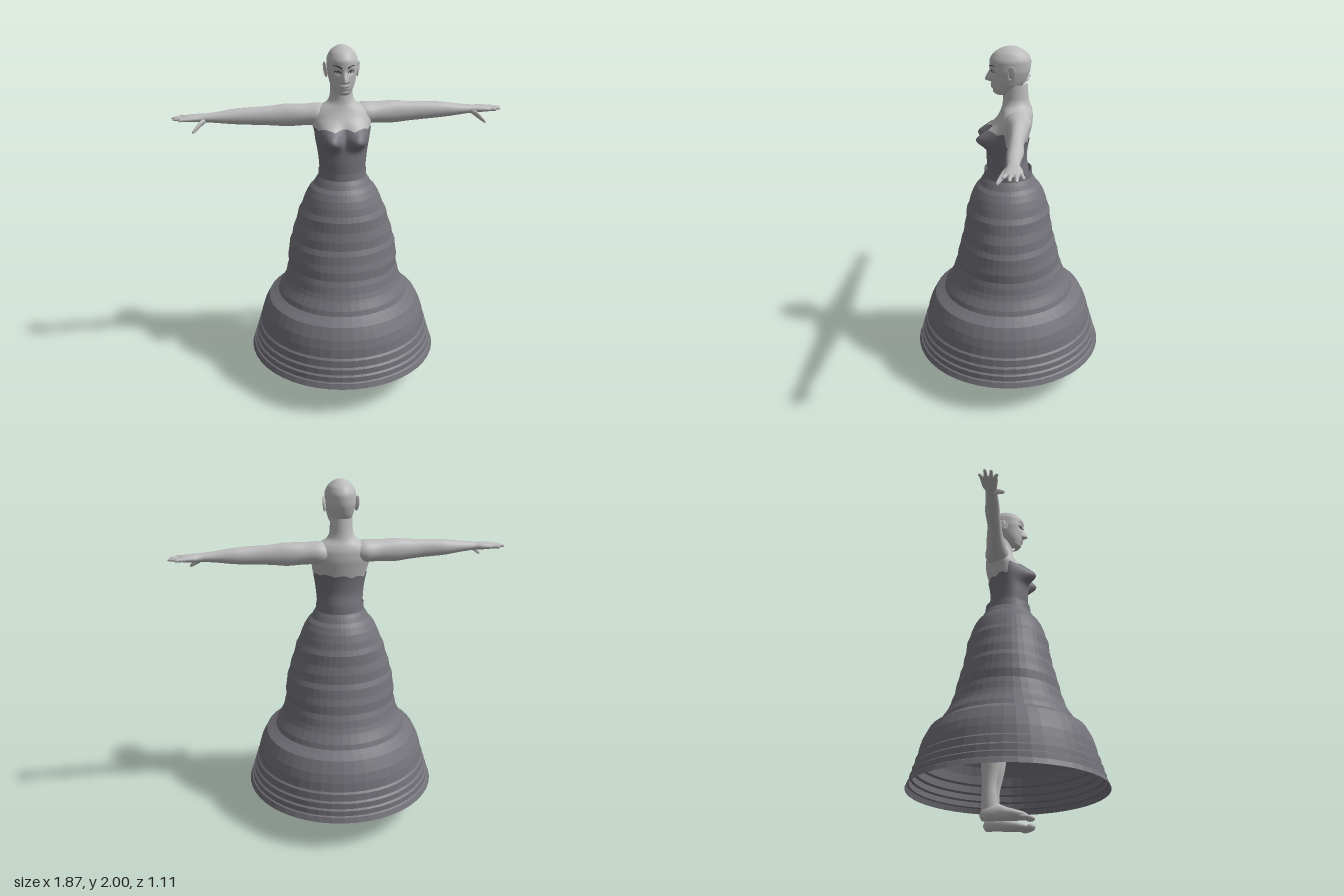
import * as THREE from 'three';

const { PI, sin, cos, exp, max, min, abs, acos } = Math;
const smooth = THREE.MathUtils.smoothstep;
const gauss = (d, w) => exp(-(d * d) / (w * w));

const skin = new THREE.MeshStandardMaterial({ name: 'skin', color: 0xbcbcbc });
const cloth = new THREE.MeshStandardMaterial({ name: 'dress cloth', color: 0x74737a, side: THREE.DoubleSide });
const skirtCloth = new THREE.MeshStandardMaterial({ name: 'skirt cloth', color: 0x74737a, side: THREE.DoubleSide, flatShading: true });
const dark = new THREE.MeshStandardMaterial({ name: 'brow dark', color: 0x3c3c3e, side: THREE.DoubleSide });

// Monotone interpolation of table rows, keyed on the first column
function at(keys, t) {
  let i = 0;
  while (i < keys.length - 2 && t > keys[i + 1][0]) i++;
  const h = keys[i + 1][0] - keys[i][0];
  const s = min(1, max(0, (t - keys[i][0]) / h));
  return keys[0].slice(1).map((_, n) => {
    const c = n + 1;
    const slope = (j) => (keys[j + 1][c] - keys[j][c]) / (keys[j + 1][0] - keys[j][0]);
    const tangent = (j) => {
      if (j === 0) return slope(0);
      if (j === keys.length - 1) return slope(j - 1);
      const a = slope(j - 1), b = slope(j);
      return a * b <= 0 ? 0 : (2 * a * b) / (a + b);
    };
    const p = keys[i][c], q = keys[i + 1][c], s2 = s * s, s3 = s2 * s;
    return p * (2 * s3 - 3 * s2 + 1) + q * (3 * s2 - 2 * s3)
      + h * (tangent(i) * (s3 - 2 * s2 + s) + tangent(i + 1) * (s3 - s2));
  });
}

// Surface through rings; fn(angle, v) gives a point
function loft(fn, around, rows) {
  const pos = [], index = [];
  for (let j = 0; j <= rows; j++) {
    for (let i = 0; i < around; i++) pos.push(...fn((i / around) * 2 * PI, j / rows));
  }
  for (let j = 0; j < rows; j++) {
    for (let i = 0; i < around; i++) {
      const a = j * around + i, b = j * around + ((i + 1) % around);
      index.push(a, a + around, b, b, a + around, b + around);
    }
  }
  const g = new THREE.BufferGeometry();
  g.setAttribute('position', new THREE.Float32BufferAttribute(pos, 3));
  g.setIndex(index);
  g.computeVertexNormals();
  return g;
}

// Rows crowd towards both ends so tips stay round
const along = (keys, v) => {
  const lo = keys[0][0], hi = keys[keys.length - 1][0];
  return lo + ((hi - lo) * (1 - cos(PI * v))) / 2;
};

// Sideways limb: rows are x, centre y, half height, centre z, half depth
const limbX = (keys, around = 20, rows = 40) => loft((a, v) => {
  const x = along(keys, v), [y, ry, z, rz] = at(keys, x);
  return [x, y + ry * cos(a), z - rz * sin(a)];
}, around, rows);

// Foot direction: rows are z, centre x, half width, centre y, half height
const limbZ = (keys) => loft((a, v) => {
  const z = along(keys, v), [x, rx, y, ry] = at(keys, z);
  return [x + rx * cos(a), y - ry * sin(a), z];
}, 20, 24);

// Upright limb: rows are y, centre x, half width, front z, back z
const limbY = (keys) => loft((a, v) => {
  const y = along(keys, v), [x, rx, f, b] = at(keys, y);
  return [x + rx * cos(a), y, (f + b) / 2 + ((f - b) / 2) * sin(a)];
}, 20, 30);

// Torso and neck rows: y, half width, front z, back z
const torsoKeys = [
  [0.86, 0.02, 0.0, -0.06], [0.9, 0.15, 0.07, -0.12], [1.0, 0.17, 0.09, -0.15], [1.15, 0.15, 0.1, -0.13],
  [1.31, 0.125, 0.112, -0.11], [1.38, 0.13, 0.115, -0.1], [1.45, 0.14, 0.11, -0.107], [1.52, 0.155, 0.085, -0.122],
  [1.58, 0.168, 0.07, -0.135], [1.62, 0.165, 0.052, -0.137], [1.655, 0.135, 0.038, -0.13],
  [1.685, 0.08, 0.03, -0.118], [1.72, 0.064, 0.028, -0.112], [1.8, 0.06, 0.028, -0.106]];

function torsoPoint(a, y, grow = 0) {
  const [w, f, b] = at(torsoKeys, y);
  const x = (w + grow) * cos(a), s = sin(a);
  let z = (f + b) / 2 + ((f - b) / 2 + grow) * s;
  const drop = y > 1.5 ? 0.058 : 0.046;
  if (s > 0) z += 0.088 * min(1, s * 1.6) * gauss(abs(x) - 0.078, 0.058) * gauss(y - 1.5, drop);
  return [x, y, z];
}

// Ragged upper hem of the bodice: high over the bust, low at the back
function bodiceTop(a) {
  return 1.475 + 0.07 * smooth(sin(a), 0.02, 0.4) + 0.012 * abs(sin(a * 5)) + 0.012 * smooth(-sin(a), 0.1, 0.6) * cos(a);
}

// Head rows: y, half width, front z, back z
const headKeys = [
  [1.735, 0.012, 0.045, 0.015], [1.742, 0.036, 0.068, -0.01], [1.765, 0.053, 0.08, -0.045],
  [1.8, 0.069, 0.088, -0.085], [1.84, 0.078, 0.093, -0.108], [1.88, 0.084, 0.099, -0.121], [1.92, 0.084, 0.1, -0.124],
  [1.96, 0.069, 0.079, -0.107], [1.985, 0.043, 0.043, -0.072], [1.996, 0.021, 0.012, -0.044], [2.0, 0.003, -0.012, -0.02]];

function headPoint(a, y) {
  const [w, f, b] = at(headKeys, y), s = sin(a), x = w * cos(a);
  let z = (f + b) / 2 + ((f - b) / 2) * s;
  if (s > 0) {
    const nose = smooth(y, 1.804, 1.818) * (1 - smooth(y, 1.818, 1.885));
    z += 0.034 * nose * gauss(x, 0.009 + 0.008 * nose);
    z -= 0.013 * gauss(abs(x) - 0.034, 0.019) * gauss(y - 1.868, 0.014);
    z += 0.009 * gauss(x, 0.024) * (gauss(y - 1.794, 0.006) + gauss(y - 1.779, 0.006));
    z += 0.006 * gauss(x, 0.024) * gauss(y - 1.755, 0.012);
  }
  return [x, y, z];
}

// Thin painted strip on the face; line(t) gives x, y and half height
function faceStrip(line) {
  const g = new THREE.PlaneGeometry(1, 1, 12, 1), p = g.attributes.position;
  for (let i = 0; i < p.count; i++) {
    const [x, yc, h] = line(p.getX(i) + 0.5);
    const y = yc + 2 * h * p.getY(i);
    const z = headPoint(acos(x / at(headKeys, y)[0]), y)[2];
    p.setXYZ(i, x, y, z + 0.003);
  }
  g.computeVertexNormals();
  return g;
}

// Skirt outline: radius, y
const skirtProfile = [
  [0.556, 0.185], [0.545, 0.215], [0.537, 0.22], [0.535, 0.25], [0.525, 0.258], [0.523, 0.29], [0.513, 0.3],
  [0.508, 0.34], [0.498, 0.35], [0.49, 0.4], [0.475, 0.45], [0.455, 0.49], [0.442, 0.515], [0.41, 0.535],
  [0.385, 0.552], [0.375, 0.58], [0.352, 0.615], [0.343, 0.63], [0.33, 0.66], [0.318, 0.7], [0.305, 0.73], [0.298, 0.78],
  [0.285, 0.82], [0.275, 0.87], [0.262, 0.9], [0.257, 0.95], [0.245, 1.0], [0.241, 1.06], [0.228, 1.09], [0.218, 1.13],
  [0.203, 1.17], [0.183, 1.205], [0.163, 1.225], [0.15, 1.25], [0.137, 1.27], [0.134, 1.312]];

const armKeys = [
  [0.05, 1.61, 0.04, -0.055, 0.05], [0.13, 1.612, 0.062, -0.06, 0.072], [0.2, 1.611, 0.06, -0.06, 0.06],
  [0.3, 1.611, 0.064, -0.062, 0.05], [0.38, 1.611, 0.056, -0.06, 0.043], [0.46, 1.612, 0.051, -0.058, 0.039],
  [0.57, 1.613, 0.045, -0.06, 0.041], [0.69, 1.612, 0.03, -0.055, 0.034], [0.76, 1.612, 0.023, -0.055, 0.03],
  [0.8, 1.612, 0.021, -0.06, 0.04], [0.85, 1.611, 0.017, -0.06, 0.045], [0.872, 1.61, 0.012, -0.06, 0.04], [0.88, 1.61, 0.002, -0.06, 0.01]];

const legKeys = [
  [0.03, 0.13, 0.03, -0.05, -0.135], [0.1, 0.13, 0.034, -0.05, -0.135], [0.18, 0.13, 0.034, -0.055, -0.133],
  [0.36, 0.13, 0.052, -0.02, -0.14], [0.52, 0.122, 0.05, -0.005, -0.1], [0.75, 0.105, 0.075, 0.045, -0.11], [1.0, 0.09, 0.085, 0.06, -0.12]];

const footKeys = [
  [-0.142, 0.13, 0.006, 0.03, 0.006], [-0.13, 0.13, 0.027, 0.032, 0.03], [-0.09, 0.13, 0.036, 0.045, 0.045],
  [-0.05, 0.131, 0.037, 0.045, 0.045], [0, 0.137, 0.043, 0.035, 0.035], [0.06, 0.143, 0.055, 0.026, 0.025],
  [0.095, 0.143, 0.053, 0.021, 0.017], [0.115, 0.138, 0.03, 0.018, 0.006]];

export function createModel() {
  const model = new THREE.Group();
  model.name = 'woman in long dress';
  const add = (parent, name, geometry, material) => {
    const m = new THREE.Mesh(geometry, material);
    m.name = name;
    parent.add(m);
    return m;
  };

  add(model, 'torso and neck', loft((a, v) => torsoPoint(a, 0.86 + 0.94 * v), 56, 90), skin);
  add(model, 'head', loft((a, v) => headPoint(a, along(headKeys, v)), 96, 80), skin);
  add(model, 'bodice', loft((a, v) => torsoPoint(a, 1.295 + (bodiceTop(a) - 1.295) * v, 0.006), 80, 30), cloth);

  // Skirt, a little wider sideways around the hips and thighs
  const skirt = new THREE.LatheGeometry(skirtProfile.map(([r, y]) => new THREE.Vector2(r, y)), 48);
  const p = skirt.attributes.position;
  for (let i = 0; i < p.count; i++) p.setX(i, p.getX(i) * (1 + 0.13 * gauss(p.getY(i) - 0.9, 0.17)));
  skirt.computeVertexNormals();
  add(model, 'skirt', skirt, skirtCloth);

  // Paired parts, built on +x and mirrored
  for (const side of [1, -1]) {
    const half = new THREE.Group();
    half.name = side > 0 ? 'left side' : 'right side';
    half.scale.x = side;
    model.add(half);

    add(half, 'arm', limbX(armKeys, 24, 60), skin);
    [[-0.094, -0.106, 0.9], [-0.073, -0.077, 0.935], [-0.05, -0.045, 0.927], [-0.028, -0.016, 0.895]].forEach(([z0, z1, tip]) => {
      add(half, 'finger', limbX([
        [0.84, 1.61, 0.009, z0, 0.01], [0.88, 1.612, 0.0105, (z0 + z1) / 2, 0.0105],
        [tip - 0.008, 1.61, 0.008, z1, 0.008], [tip, 1.609, 0.001, z1, 0.001]], 10, 12), skin);
    });
    add(half, 'thumb', limbX([
      [0.745, 1.606, 0.012, -0.045, 0.015], [0.775, 1.59, 0.018, -0.022, 0.015],
      [0.805, 1.564, 0.013, 0.004, 0.011], [0.82, 1.552, 0.008, 0.014, 0.008], [0.825, 1.549, 0.001, 0.016, 0.001]], 12, 16), skin);

    add(half, 'leg', limbY(legKeys), skin);
    add(half, 'foot', limbZ(footKeys), skin);
    for (let i = 0; i < 5; i++) {
      const toe = add(half, 'toe', new THREE.SphereGeometry(1, 12, 8), skin);
      const r = i === 0 ? 0.017 : 0.013 - 0.0007 * i;
      toe.scale.set(r, r, 0.026);
      toe.position.set(0.1 + (i ? 0.006 : 0) + i * 0.021, r + 0.002, 0.12 - 0.002 * i * i);
    }

    // Ear: flattened shell with a rim
    const ear = new THREE.Group();
    ear.name = 'ear';
    ear.position.set(0.087, 1.868, -0.022);
    ear.rotation.set(-0.15, -0.3, -0.12);
    half.add(ear);
    add(ear, 'ear shell', new THREE.SphereGeometry(1, 14, 10), skin).scale.set(0.007, 0.036, 0.021);
    const rim = add(ear, 'ear rim', new THREE.TorusGeometry(0.02, 0.004, 8, 20), skin);
    rim.rotation.y = PI / 2;
    rim.position.x = 0.004;
    rim.scale.y = 1.75;

    // Brow, lash lines and pupil
    add(half, 'eyebrow', faceStrip((t) => [0.016 + 0.046 * t, 1.892 + 0.012 * sin(t * 2.2), 0.0045 - 0.003 * t]), dark);
    add(half, 'upper lashes', faceStrip((t) => [0.018 + 0.036 * t, 1.868 + 0.008 * sin(t * 2.8), 0.0022]), dark);
    add(half, 'lower lashes', faceStrip((t) => [0.02 + 0.032 * t, 1.867 - 0.004 * sin(t * PI), 0.0008]), dark);
    add(half, 'pupil', faceStrip((t) => [0.031 + 0.009 * t, 1.869, 0.001 + 0.004 * sin(t * PI)]), dark);
  }
  add(model, 'mouth line', faceStrip((t) => [-0.022 + 0.044 * t, 1.787 - 0.002 * sin(t * PI), 0.0009]), dark);
  return model;
}
